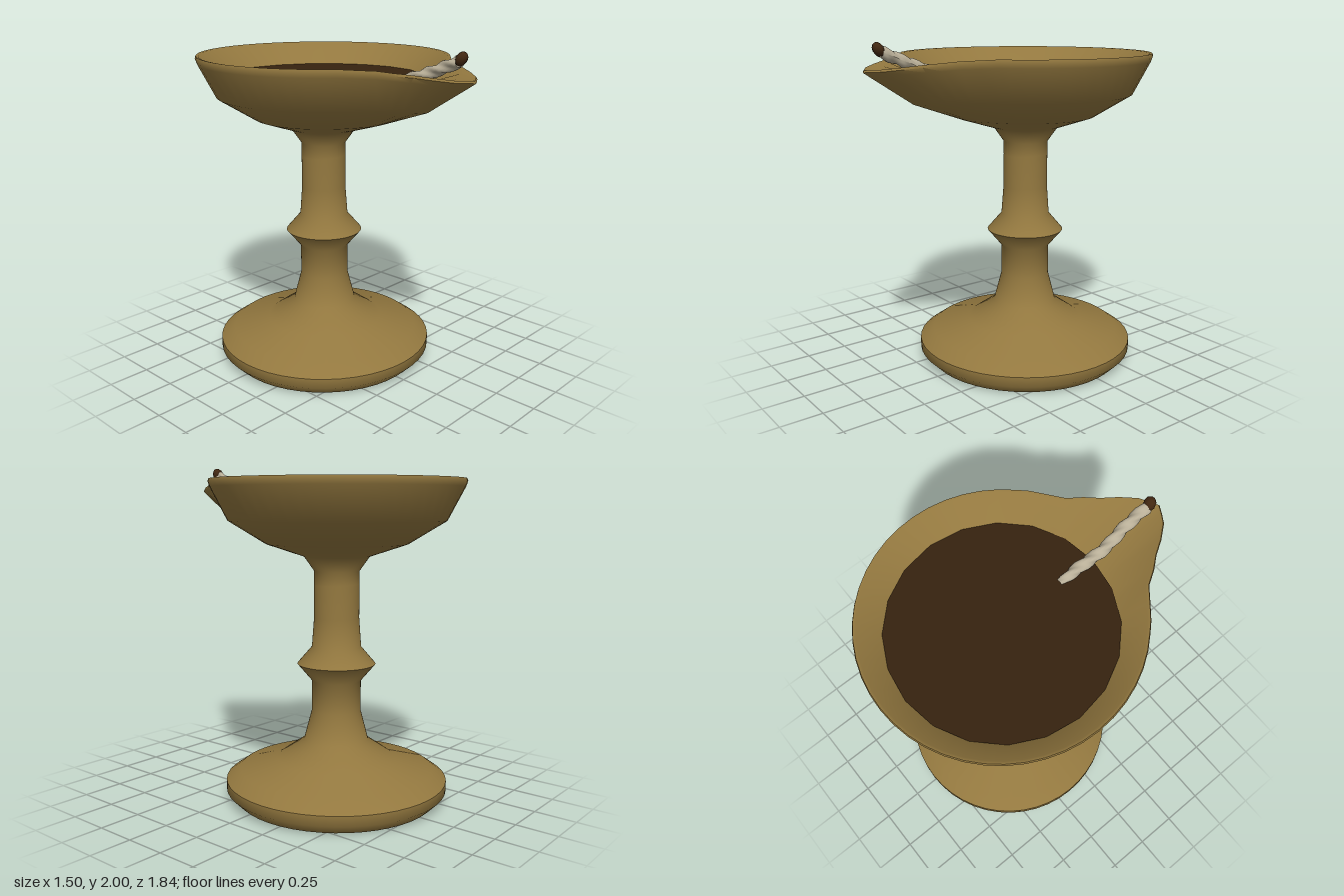
import * as THREE from 'three';
import { toCreasedNormals } from 'three/addons/utils/BufferGeometryUtils.js';

const AXIS_Z = -0.17; // the stem stands behind centre, balancing the spout
const CREASE = 0.87;

const material = (name, color) => {
  const m = new THREE.MeshStandardMaterial({ color });
  m.name = name;
  return m;
};

// Piecewise-linear lookup in [key, value] pairs
function lookup(table, k) {
  for (let i = 1; i < table.length; i++) {
    const [k0, v0] = table[i - 1], [k1, v1] = table[i];
    if (k <= k1) return v0 + (v1 - v0) * (k - k0) / (k1 - k0);
  }
  return table[table.length - 1][1];
}

// Spout reach and rim drop by angle (degrees) away from the front
const REACH = [[0, 0.34], [5.5, 0.285], [14.4, 0.138], [25, 0.03], [33, 0.01], [45, 0], [180, 0]];
const DROP = [[0, 0.06], [5.5, 0.053], [14.4, 0.03], [25, 0.012], [40, 0], [180, 0]];

// Bowl section: [radius, height, share of spout reach, share of rim drop]
const BOWL = [
  [0.135, 1.3, 0, 0], [0.135, 1.38, 0, 0], [0.195, 1.465, 0, 0],
  [0.42, 1.54, 0.09, 0], [0.64, 1.675, 0.44, 0.33], [0.74, 1.87, 0.92, 0.85],
  [0.75, 1.9, 1, 0.95], [0.745, 1.915, 0.99, 1], [0.73, 1.912, 0.96, 1],
  [0.615, 1.775, 0.05, 0], [0.4, 1.66, 0, 0], [0.001, 1.65, 0, 0],
];

function bowlGeometry() {
  const half = [0, 2.7, 5.5, 10, 14.4, 19.5, 25, 33, 40, 45];
  for (let a = 52.5; a <= 180; a += 7.5) half.push(a);
  const angles = [...half, ...half.slice(1, -1).reverse().map(a => 360 - a)];
  const n = angles.length, pos = [], idx = [];
  BOWL.forEach(([r, y, reach, drop]) => angles.forEach(a => {
    const off = Math.min(a, 360 - a), t = THREE.MathUtils.degToRad(a);
    const rad = r + reach * lookup(REACH, off);
    pos.push(rad * Math.sin(t), y - drop * lookup(DROP, off), rad * Math.cos(t));
  }));
  for (let j = 0; j < BOWL.length - 1; j++) {
    for (let i = 0; i < n; i++) {
      const a = j * n + i, b = j * n + (i + 1) % n;
      idx.push(a, b, a + n, b, b + n, a + n);
    }
  }
  const g = new THREE.BufferGeometry();
  g.setAttribute('position', new THREE.Float32BufferAttribute(pos, 3));
  g.setIndex(idx);
  return toCreasedNormals(g, CREASE);
}

// Twisted cord: a tube whose section has three lobes that spiral along it
function wickGeometry() {
  const curve = new THREE.CatmullRomCurve3([
    [0.012, 1.775, 0.23], [0.006, 1.8, 0.36], [-0.006, 1.835, 0.52],
    [0.004, 1.885, 0.66], [0, 1.945, 0.81],
  ].map(p => new THREE.Vector3(...p)));
  const steps = 60, sides = 15;
  const g = new THREE.TubeGeometry(curve, steps, 0.037, sides);
  const p = g.attributes.position, v = new THREE.Vector3();
  for (let i = 0; i <= steps; i++) {
    const centre = curve.getPointAt(i / steps);
    const taper = Math.min(1, 0.6 + i / 25);
    for (let j = 0; j <= sides; j++) {
      const k = i * (sides + 1) + j;
      const a = (j / sides) * Math.PI * 2 + i * 0.2;
      v.fromBufferAttribute(p, k).sub(centre);
      v.multiplyScalar(taper * (0.86 + 0.14 * Math.cos(3 * a))).add(centre);
      p.setXYZ(k, v.x, v.y, v.z);
    }
  }
  g.computeVertexNormals();
  return g;
}

export function createModel() {
  const brass = material('brass', 0x93783f);
  const oilBrown = material('oil brown', 0x36220f);
  const cord = material('cord', 0xb9af98);
  const char = material('charred cord', 0x422812);
  cord.side = THREE.DoubleSide;

  const model = new THREE.Group();
  model.name = 'oilLamp';
  const add = (name, geometry, mat, x, y, z) => {
    const mesh = new THREE.Mesh(geometry, mat);
    mesh.name = name;
    mesh.position.set(x, y, z);
    model.add(mesh);
    return mesh;
  };

  // Foot and stem, turned in one piece
  const profile = [
    [0, 0], [0.61, 0], [0.67, 0.06], [0.67, 0.12], [0.585, 0.18], [0.36, 0.24],
    [0.195, 0.355], [0.148, 0.535], [0.148, 0.72], [0.235, 0.823],
    [0.148, 0.925], [0.135, 1.1], [0.135, 1.3],
  ].map(([r, y]) => new THREE.Vector2(r, y));
  add('footAndStem', toCreasedNormals(new THREE.LatheGeometry(profile, 48), CREASE), brass, 0, 0, AXIS_Z);

  // Bowl with pouring spout
  add('bowl', bowlGeometry(), brass, 0, 0, AXIS_Z);

  // Oil surface
  add('oil', new THREE.CircleGeometry(0.62, 20).rotateX(-Math.PI / 2), oilBrown, 0, 1.781, AXIS_Z);

  // Wick resting in the spout, with its burnt tip
  add('wick', wickGeometry(), cord, 0, 0, 0);
  const tip = add('wickTip', new THREE.SphereGeometry(0.036, 8, 6), char, 0, 1.96, 0.825);
  tip.scale.set(1, 1.15, 0.85);
  tip.rotation.x = 0.5;

  return model;
}
